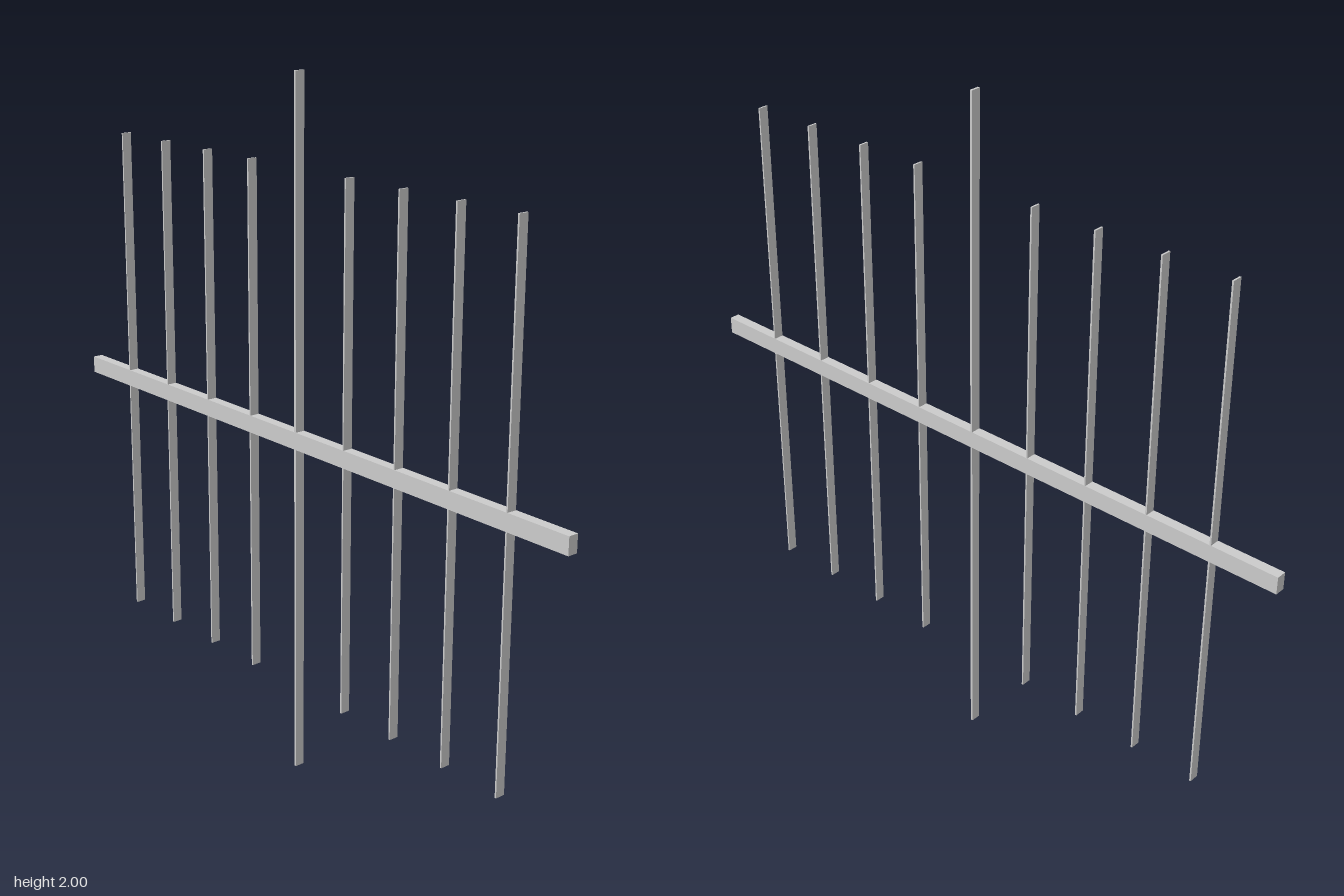
import * as THREE from 'three';

export function createModel() {
  const group = new THREE.Group();
  const material = new THREE.MeshStandardMaterial({ color: 0xcccccc, flatShading: true });

  const addBar = (name, width, height, depth, x) => {
    const bar = new THREE.Mesh(new THREE.BoxGeometry(width, height, depth), material);
    bar.name = name;
    bar.position.set(x, 1, 0);
    group.add(bar);
  };

  // horizontal beam carrying all the slats
  addBar('crossBeam', 2, 0.05, 0.03, 0);

  // full-height slat in the middle
  addBar('centreSlat', 0.007, 2, 0.029, 0);

  // shorter slats, mirrored either side
  for (let i = 1; i <= 4; i++) {
    addBar('leftSlat' + i, 0.005, 1.5, 0.029, i * 0.2);
    addBar('rightSlat' + i, 0.005, 1.5, 0.029, -i * 0.2);
  }
  return group;
}
